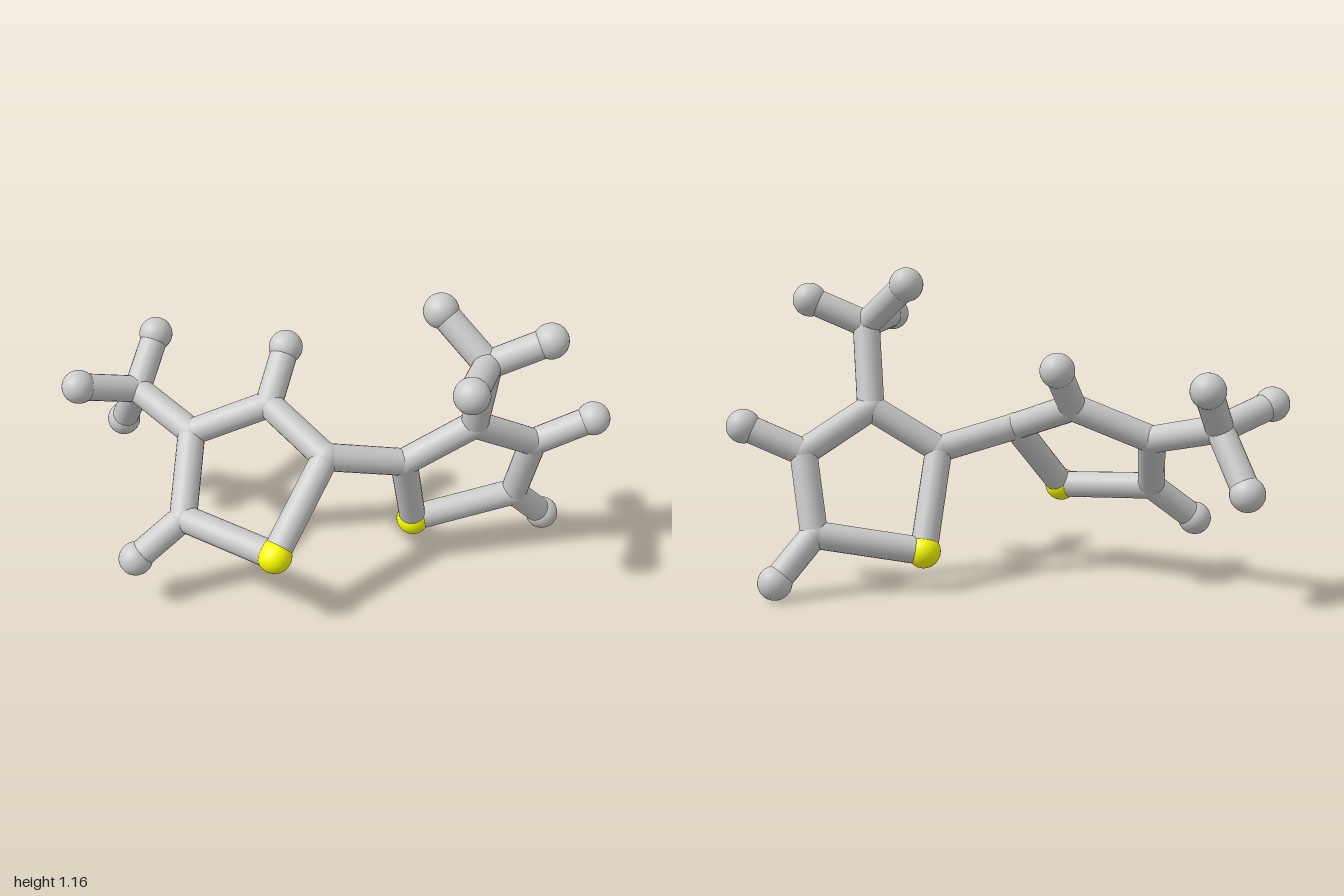
import * as THREE from 'three';

const STICK_R = 0.05, JOINT_R = 0.052, BALL_R = 0.062;

// Atom centres, grouped by ring and side groups
const ATOMS = {
  // right ring
  sulphurA: [-0.23, 0.313, 0.377],
  carbonA2: [-0.045, 0.575, 0.15],
  carbonA3: [-0.245, 0.672, -0.055],
  carbonA4: [-0.53, 0.555, -0.06],
  carbonA5: [-0.56, 0.342, 0.18],
  hydrogenA3: [-0.18, 0.82, -0.212],
  hydrogenA5: [-0.735, 0.205, 0.235],
  methylA: [-0.74, 0.622, -0.26],
  hydrogenA6: [-0.94, 0.695, -0.16],
  hydrogenA7: [-0.672, 0.772, -0.415],
  hydrogenA8: [-0.818, 0.415, -0.383],
  // left ring
  sulphurB: [0.293, 0.147, -0.058],
  carbonB2: [0.24, 0.5, 0.08],
  carbonB3: [0.488, 0.655, 0.077],
  carbonB4: [0.725, 0.507, -0.027],
  carbonB5: [0.682, 0.222, -0.113],
  hydrogenB4: [0.938, 0.603, -0.03],
  hydrogenB5: [0.815, 0.065, -0.19],
  methylB: [0.508, 0.955, 0.172],
  hydrogenB6: [0.353, 1.105, 0.06],
  hydrogenB7: [0.425, 0.98, 0.412],
  hydrogenB8: [0.715, 1.045, 0.174],
};

// Bonds of one half; the suffix letter is added for each ring
const BONDS = [
  ['sulphur', '', 'carbon', '2'], ['carbon', '2', 'carbon', '3'],
  ['carbon', '3', 'carbon', '4'], ['carbon', '4', 'carbon', '5'],
  ['carbon', '5', 'sulphur', ''], ['carbon', '5', 'hydrogen', '5'],
  ['methyl', '', 'hydrogen', '6'], ['methyl', '', 'hydrogen', '7'],
  ['methyl', '', 'hydrogen', '8'],
];

export function createModel() {
  const model = new THREE.Group();
  model.name = 'stickMolecule';
  const grey = new THREE.MeshStandardMaterial({ color: 0xcccccc });
  const yellow = new THREE.MeshStandardMaterial({ color: 0xffff00 });
  const ball = new THREE.SphereGeometry(1, 32, 20);
  const stick = new THREE.CylinderGeometry(STICK_R, STICK_R, 1, 20, 1, true);
  const up = new THREE.Vector3(0, 1, 0);

  // Balls: small joints at carbons, larger ones at sulphur and hydrogen
  for (const [name, p] of Object.entries(ATOMS)) {
    const joint = /^(carbon|methyl)/.test(name);
    const mesh = new THREE.Mesh(ball, name.startsWith('sulphur') ? yellow : grey);
    mesh.name = name;
    mesh.position.set(...p);
    mesh.scale.setScalar(joint ? JOINT_R : BALL_R);
    model.add(mesh);
  }

  // A stick between two named atoms
  function bond(from, to) {
    const a = new THREE.Vector3(...ATOMS[from]);
    const d = new THREE.Vector3(...ATOMS[to]).sub(a);
    const mesh = new THREE.Mesh(stick, grey);
    mesh.name = `bond ${from} to ${to}`;
    mesh.position.copy(a).addScaledVector(d, 0.5);
    mesh.scale.y = d.length();
    mesh.quaternion.setFromUnitVectors(up, d.normalize());
    model.add(mesh);
  }

  for (const side of ['A', 'B']) {
    for (const [e1, n1, e2, n2] of BONDS) bond(e1 + side + n1, e2 + side + n2);
  }

  // Link between the rings, and the bonds that differ between the two halves
  bond('carbonA2', 'carbonB2');
  bond('carbonA3', 'hydrogenA3');
  bond('carbonA4', 'methylA');
  bond('carbonB4', 'hydrogenB4');
  bond('carbonB3', 'methylB');

  return model;
}
